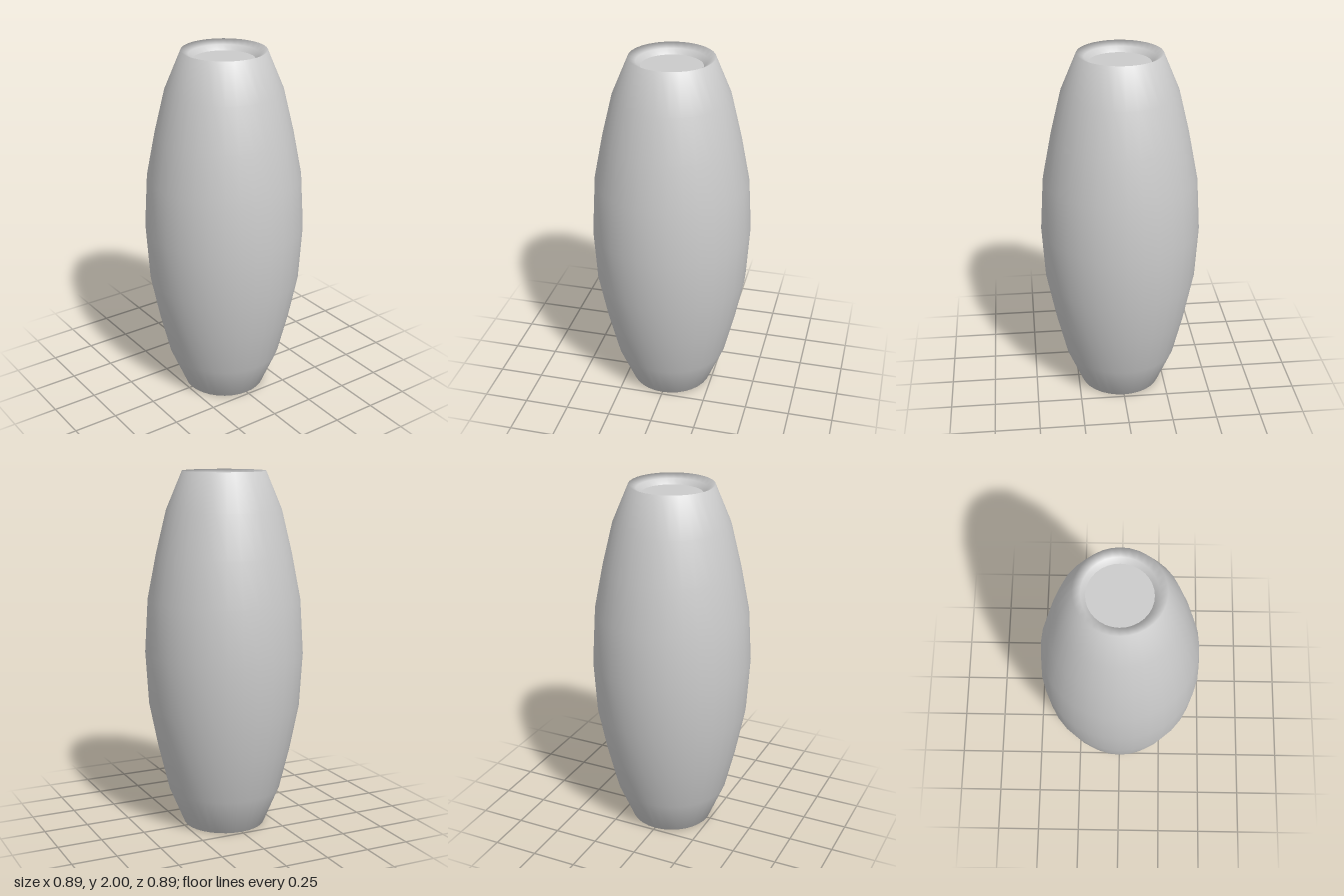
import * as THREE from 'three';

const SEGMENTS = 32;
const HEIGHT = 2;
const RECESS_RADIUS = 0.167;
const RECESS_DEPTH = 0.05;

export function createModel() {
  const group = new THREE.Group();
  group.name = 'barrel';
  const material = new THREE.MeshStandardMaterial({ color: 0xcccccc });

  // Lower half of the profile, from the recessed lip out to the belly
  const lower = [
    [RECESS_RADIUS, RECESS_DEPTH], [0.19, 0.023], [0.23, 0],
    [0.318, 0.21], [0.376, 0.45], [0.425, 0.7], [0.443, 1],
  ];
  // Upper half mirrors the lower one
  const upper = lower.slice(0, -1).reverse().map(([r, y]) => [r, HEIGHT - y]);
  const profile = [...lower, ...upper].map(([r, y]) => new THREE.Vector2(r, y));

  const body = new THREE.Mesh(new THREE.LatheGeometry(profile, SEGMENTS), material);
  body.name = 'body';
  group.add(body);

  // Flat discs closing the recess at each end
  for (const [name, y, turn] of [
    ['topDisc', HEIGHT - RECESS_DEPTH, -Math.PI / 2],
    ['bottomDisc', RECESS_DEPTH, Math.PI / 2],
  ]) {
    const disc = new THREE.Mesh(new THREE.CircleGeometry(RECESS_RADIUS, SEGMENTS), material);
    disc.name = name;
    disc.position.y = y;
    disc.rotation.x = turn;
    group.add(disc);
  }
  return group;
}
